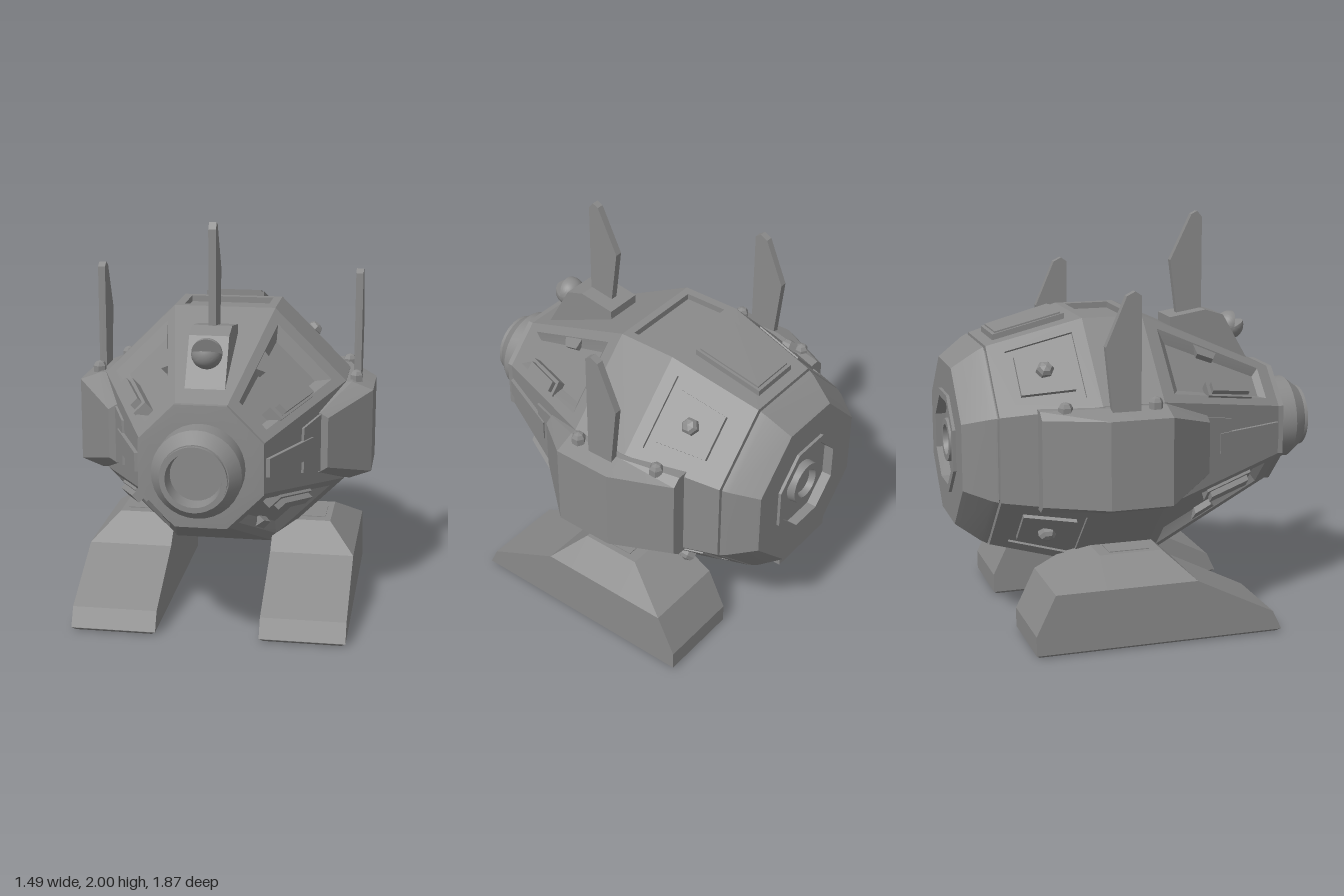
import * as THREE from 'three';
import { toCreasedNormals } from 'three/addons/utils/BufferGeometryUtils.js';

const CY = 0.92;                 // height of the hull axis
const K = Math.tan(Math.PI / 8); // half side of an octagon / apothem
const mat = new THREE.MeshStandardMaterial({ color: 0x8a8a8a });

// Hull apothem at a given z
const STATIONS = [[0.72, 0.29], [0, 0.61], [-0.3, 0.61], [-0.76, 0.49]];
function apothem(z) {
  for (let i = 0; i < 3; i++) {
    const [z0, r0] = STATIONS[i], [z1, r1] = STATIONS[i + 1];
    if (z >= z1 || i === 2) return r0 + (r1 - r0) * (z0 - z) / (z0 - z1);
  }
}

// Point on the hull facet facing angle a: across t, along z, raised by h
function onFacet(a, t, z, h) {
  const s = Math.sin(a), c = Math.cos(a), r = apothem(z) + h;
  return [c * t + s * r, CY - s * t + c * r, z];
}

function add(group, name, geo, material = mat) {
  const mesh = new THREE.Mesh(toCreasedNormals(geo, 0.22), material);
  mesh.name = name;
  group.add(mesh);
  return mesh;
}

function fromTriangles(out) {
  const geo = new THREE.BufferGeometry();
  geo.setAttribute('position', new THREE.Float32BufferAttribute(out, 3));
  return geo;
}

// Prism on a hull facet: points are [across, z], heights are above the facet
function slab(pts, a, h0, h1, hole) {
  const toVec = ([t, z]) => new THREE.Vector2(t, -z);
  const shape = new THREE.Shape(pts.map(toVec));
  if (hole) shape.holes.push(new THREE.Path(hole.map(toVec)));
  const geo = new THREE.ExtrudeGeometry(shape, { depth: h1 - h0, bevelEnabled: false });
  const p = geo.attributes.position;
  for (let i = 0; i < p.count; i++) p.setXYZ(i, ...onFacet(a, p.getX(i), -p.getY(i), h0 + p.getZ(i)));
  return geo;
}
const trapezoid = (z0, w0, z1, w1) => [[-w0, z0], [w0, z0], [w1, z1], [-w1, z1]];

// Sloped walls from an opening in a facet down to a smaller floor
function slopedWalls(outer, inner, a, depth) {
  const out = [];
  outer.forEach((p, i) => {
    const j = (i + 1) % outer.length;
    const A = onFacet(a, ...p, 0), B = onFacet(a, ...outer[j], 0);
    const C = onFacet(a, ...inner[j], -depth), D = onFacet(a, ...inner[i], -depth);
    out.push(...A, ...B, ...C, ...A, ...C, ...D);
  });
  return fromTriangles(out);
}

// Side-profile plate: points are [z, y], extruded across x
function plate(pts, x, w) {
  const shape = new THREE.Shape(pts.map(([z, y]) => new THREE.Vector2(z, y)));
  return new THREE.ExtrudeGeometry(shape, { depth: w, bevelEnabled: false })
    .rotateY(-Math.PI / 2).translate(x + w / 2, 0, 0);
}

// Revolved profile [radius, z] around the hull axis; 8 sides align with the hull
function turned(pts, sides) {
  const k = sides === 8 ? 1 / Math.cos(Math.PI / 8) : 1;
  return new THREE.LatheGeometry(pts.map(([r, z]) => new THREE.Vector2(r * k, z)), sides, Math.PI / 8)
    .rotateX(Math.PI / 2).translate(0, CY, 0);
}

// Loft through [z, ring] sections, z rising, rings counter-clockwise from the front
function loft(sections, side) {
  const rings = sections.map(([z, ring]) => {
    const r = ring.map(([x, y]) => [x * side, y, z]);
    return side < 0 ? r.reverse() : r;
  });
  const out = [], n = rings[0].length, last = rings[rings.length - 1];
  const tri = (...c) => c.forEach(q => out.push(...q));
  for (let k = 0; k < rings.length - 1; k++) {
    for (let i = 0; i < n; i++) {
      const j = (i + 1) % n, A = rings[k], B = rings[k + 1];
      tri(A[i], A[j], B[j]);
      tri(A[i], B[j], B[i]);
    }
  }
  for (let i = 1; i < n - 1; i++) {
    tri(last[0], last[i], last[i + 1]);
    tri(rings[0][0], rings[0][i + 1], rings[0][i]);
  }
  return fromTriangles(out);
}

function bolt(group, r, pos, dir) {
  const geo = new THREE.LatheGeometry([[r * 1.15, -0.02], [r * 1.15, 0.012], [r * 0.8, 0.03], [0, 0.038]]
    .map(([x, y]) => new THREE.Vector2(x, y)), 6);
  const m = add(group, 'bolt', geo);
  m.position.copy(pos);
  m.quaternion.setFromUnitVectors(new THREE.Vector3(0, 1, 0), dir);
}

export function createModel() {
  const model = new THREE.Group();
  model.name = 'walkerPod';
  const hull = new THREE.Group();
  hull.name = 'hull';
  model.add(hull);

  // Eight facets in three sections, some with recesses
  const bay = trapezoid(0.64, 0.09, 0.07, 0.19), bayFloor = trapezoid(0.61, 0.06, 0.11, 0.135);
  const hatchHole = trapezoid(-0.36, 0.185, -0.68, 0.15);
  const roofHole = trapezoid(-0.04, 0.21, -0.26, 0.21);
  for (let f = 0; f < 8; f++) {
    const a = f * Math.PI / 4, diagonal = f % 2 === 1;
    const sign = Math.sin(a) * Math.cos(a) > 0 ? 1 : -1; // +t points to the flank
    const flip = pts => pts.map(([t, z]) => [t * sign, z]);
    const holes = diagonal ? [bay, null, hatchHole] : [null, f === 0 ? roofHole : null, null];
    holes.forEach((hole, i) => {
      const [z0, r0] = STATIONS[i], [z1, r1] = STATIONS[i + 1];
      add(hull, 'hullFacet', slab(trapezoid(z0, r0 * K, z1, r1 * K), a, -0.035, 0, hole));
    });
    if (f === 0) add(hull, 'roofRecessFloor', slab(roofHole, a, -0.045, -0.03));
    if (diagonal) {
      // Sunken bay with a grab block at the front, bolted hatch at the rear
      add(hull, 'bayWalls', slopedWalls(bay, bayFloor, a, 0.04));
      add(hull, 'bayFloor', slab(bayFloor, a, -0.055, -0.04));
      add(hull, 'bayTab', slab(flip([[-0.15, 0.27], [-0.095, 0.28], [-0.085, 0.37], [-0.13, 0.4]]), a, -0.045, -0.004));
      add(hull, 'grabBlock', slab(flip([[0.085, 0.27], [0.165, 0.27], [0.115, 0.54], [0.035, 0.54]]), a, -0.045, 0.015));
      add(hull, 'grabBar', slab(flip([[0.1, 0.29], [0.15, 0.29], [0.105, 0.52], [0.055, 0.52]]), a, 0, 0.045));
      add(hull, 'hatchRecessFloor', slab(hatchHole, a, -0.03, -0.012));
      add(hull, 'hatch', slab(trapezoid(-0.4, 0.135, -0.645, 0.11), a, -0.03, 0.006));
      const n = new THREE.Vector3(Math.sin(a), Math.cos(a), 0);
      bolt(hull, 0.037, new THREE.Vector3(...onFacet(a, 0, -0.52, 0.01)), n);
    }
    if (f === 2 || f === 6) {
      add(hull, 'flankPlate', slab(trapezoid(0.4, 0.112, 0.24, 0.145), a, -0.01, 0.012));
      add(hull, 'flankStrip', slab(trapezoid(0.7, 0.045, 0.33, 0.05), a, -0.01, 0.02));
    }
  }
  add(hull, 'roofPlate', slab(trapezoid(-0.36, 0.15, -0.71, 0.13), 0, -0.01, 0.028));
  add(hull, 'roofPlateTop', slab(trapezoid(-0.375, 0.135, -0.695, 0.117), 0, 0.02, 0.036));

  // Nose collar and hollow barrel
  add(hull, 'noseCollar', turned([[0, 0.7], [0.295, 0.7], [0.295, 0.735], [0.24, 0.74], [0, 0.74]], 8));
  add(hull, 'noseBarrel', turned([[0.21, 0.73], [0.21, 0.85], [0.16, 0.915], [0.155, 0.915], [0.155, 0.935],
    [0.13, 0.935], [0.12, 0.86], [0, 0.86]], 32));

  // Rear cap with a sunken port
  add(hull, 'rearCap', turned([[0, -0.885], [0.205, -0.885], [0.205, -0.935], [0.24, -0.935], [0.24, -0.92],
    [0.385, -0.92], [0.47, -0.8], [0.485, -0.77], [0.465, -0.77], [0.465, -0.75], [0, -0.75]], 8));
  add(hull, 'rearPort', turned([[0, -0.895], [0.065, -0.895], [0.075, -0.925], [0.105, -0.925], [0.11, -0.88]], 32));

  // Roof fin on its housing
  add(model, 'finHousing', plate([[0.2, 1.38], [0.62, 1.24], [0.6, 1.275], [0.48, 1.485], [0.385, 1.515], [0.2, 1.485]], 0, 0.19));
  add(model, 'roofFin', plate([[0.265, 1.45], [0.39, 1.45], [0.39, 1.97], [0.365, 2], [0.335, 1.985], [0.225, 1.76]], 0, 0.036));

  // Round lamp with a wedge cut out, opening forward and up
  const lamp = new THREE.Group();
  lamp.name = 'lamp';
  lamp.rotation.x = -Math.PI * 0.77;
  lamp.position.set(0, 1.415, 0.55);
  model.add(lamp);
  const gap = 0.95, R = 0.073;
  const ball = add(lamp, 'lampShell', new THREE.SphereGeometry(R, 36, 20, gap / 2, Math.PI * 2 - gap));
  ball.rotation.z = Math.PI / 2;
  const twoSided = mat.clone();
  twoSided.side = THREE.DoubleSide;
  for (const s of [-1, 1]) {
    const face = add(ball, 'lampFace', new THREE.CircleGeometry(R, 20, -Math.PI / 2, Math.PI), twoSided);
    face.rotation.y = Math.PI + s * gap / 2;
  }

  for (const side of [-1, 1]) {
    const tag = side > 0 ? 'left' : 'right';

    // Side pod: inner edge, shoulder and outer face per section
    const pod = (z, xs, xo, ys, yo) => [z, [[0.4, CY - ys], [xs, CY - ys], [xo, CY - yo],
      [xo, CY + yo], [xs, CY + ys], [0.4, CY + ys]]];
    add(model, tag + 'Pod', loft([pod(-0.59, 0.57, 0.61, 0.24, 0.205), pod(-0.3, 0.64, 0.745, 0.25, 0.21),
      pod(0, 0.64, 0.745, 0.25, 0.21), pod(0.25, 0.505, 0.545, 0.15, 0.125)], side));
    add(model, tag + 'Fin', plate([[-0.27, 1.13], [-0.135, 1.13], [-0.135, 1.69], [-0.165, 1.71],
      [-0.205, 1.69], [-0.305, 1.46]], side * 0.657, 0.036));
    const up = new THREE.Vector3(0, 1, 0);
    bolt(model, 0.03, new THREE.Vector3(side * 0.657, 1.18, -0.06), up);
    bolt(model, 0.03, new THREE.Vector3(side * 0.595, 1.165, -0.475), up);

    // Foot with a hipped outer shoulder, a plate on top and a tapered sole
    const foot = (z, yo, xt = 0.675, yt = yo) =>
      [z, [[0.255, 0.015], [0.675, 0.015], [0.675, yo], [xt, yt], [0.255, yt]]];
    add(model, tag + 'Foot', loft([foot(-0.645, 0.11), foot(-0.55, 0.305), foot(-0.3, 0.305, 0.545, 0.435),
      foot(0.01, 0.305, 0.545, 0.435), foot(0.15, 0.305), foot(0.54, 0.11), foot(0.585, 0.017)], side));
    add(model, tag + 'FootPlate', new THREE.BoxGeometry(0.12, 0.012, 0.2).translate(side * 0.455, 0.433, -0.145));
    const sole = new THREE.BoxGeometry(0.42, 0.016, 1.23);
    const p = sole.attributes.position;
    for (let i = 0; i < p.count; i++) {
      if (p.getY(i) < 0) p.setXYZ(i, p.getX(i) * 0.9, p.getY(i), p.getZ(i) * 0.97);
    }
    add(model, tag + 'Sole', sole.translate(side * 0.465, 0.008, -0.03));
  }
  return model;
}
